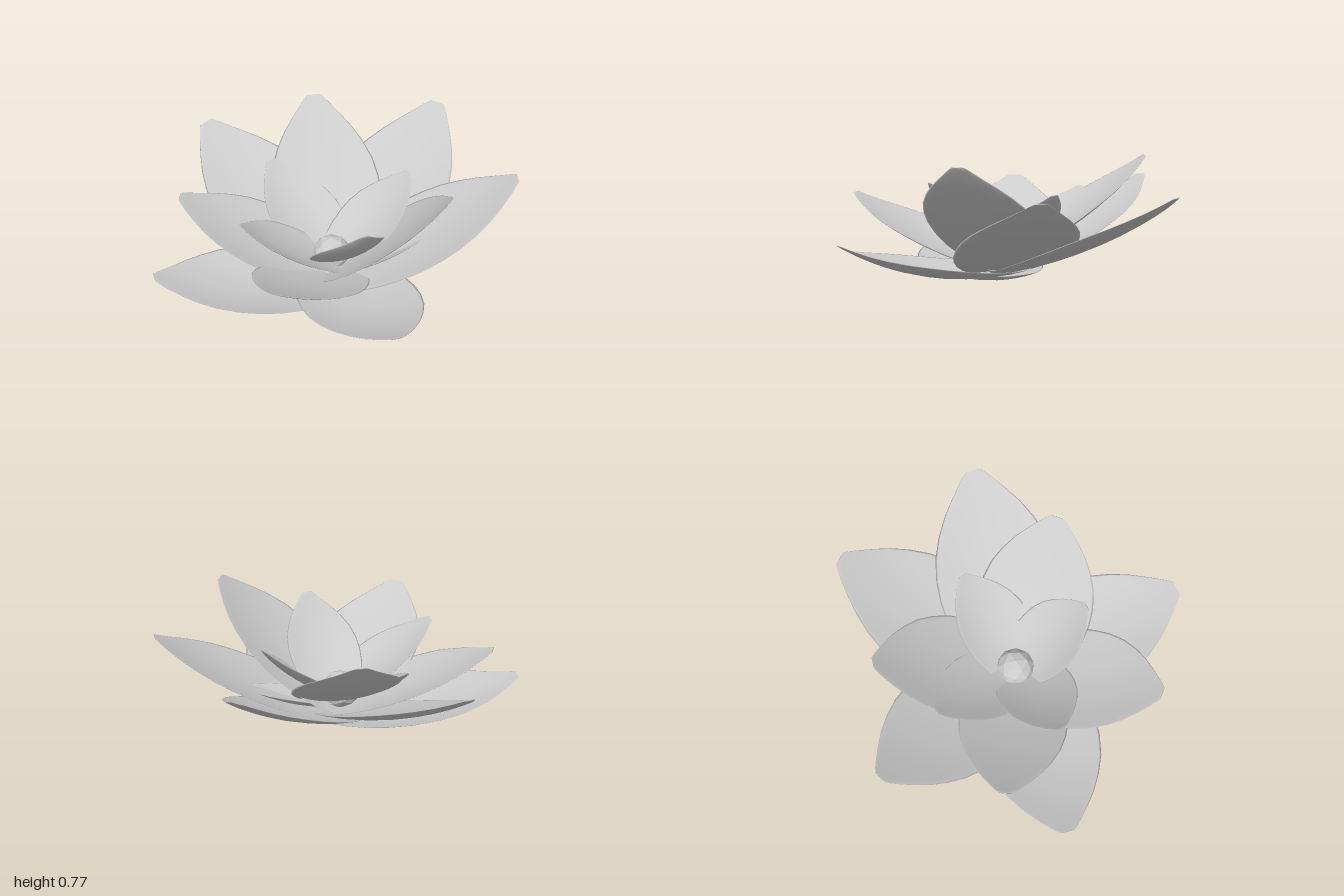
import * as THREE from 'three';

const material = new THREE.MeshStandardMaterial({ color: 0xcccccc, side: THREE.DoubleSide });
const CENTRE = { x: 0.1, z: 0.13 };

// petal outline: [distance along petal, share of half width]
const OUTLINE = [
  [0, 0], [0, 0.25], [0.03, 0.42], [0.08, 0.58], [0.15, 0.73], [0.24, 0.86], [0.34, 0.95], [0.45, 1],
  [0.55, 0.99], [0.65, 0.92], [0.74, 0.79], [0.82, 0.63], [0.89, 0.45], [0.95, 0.28], [0.98, 0.19], [1, 0.12], [1, 0],
];
const AROUND = 24;

// A thin cupped petal: flattened elliptical rings bent along a sagging midrib.
// Its base starts a little behind the flower's centre.
function petalGeometry(tip, halfWidth, baseY, overshoot, sag, cup, roll) {
  const base = new THREE.Vector3(CENTRE.x - tip.x, 0, CENTRE.z - tip.z).setLength(overshoot);
  base.add(new THREE.Vector3(CENTRE.x, baseY, CENTRE.z));
  const along = tip.clone().sub(base);
  const dir = along.clone().normalize();
  const side = dir.clone().cross(new THREE.Vector3(0, 1, 0)).normalize().applyAxisAngle(dir, roll);
  const normal = side.clone().cross(dir);
  const positions = [];
  const index = [];
  OUTLINE.forEach(([t, h], i) => {
    for (let j = 0; j < AROUND; j++) {
      const a = (j / AROUND) * Math.PI * 2;
      const u = Math.cos(a) * h;
      const lift = cup * u * u - sag * 4 * t * (1 - t) + Math.sin(a) * 0.009 * Math.sqrt(h);
      const p = base.clone().addScaledVector(along, t)
        .addScaledVector(side, u * halfWidth)
        .addScaledVector(normal, lift);
      positions.push(p.x, p.y, p.z);
      if (i === OUTLINE.length - 1) continue;
      const k = (j + 1) % AROUND;
      const r = i * AROUND;
      const s = r + AROUND;
      index.push(r + j, s + j, r + k, r + k, s + j, s + k);
    }
  });
  const geometry = new THREE.BufferGeometry();
  geometry.setAttribute('position', new THREE.Float32BufferAttribute(positions, 3));
  geometry.setIndex(index);
  geometry.computeVertexNormals();
  return geometry;
}

// Each petal: tip x, y, z, half width, base height, optional roll
const RINGS = {
  lowPetal: {
    sag: 0.11, cup: 0.07, overshoot: 0.18,
    petals: [
      [0.83, 0.28, 0.79, 0.34, 0.1],
      [-0.73, 0.18, 0.77, 0.34, 0.075],
    ],
  },
  outerPetal: {
    sag: 0.08, cup: 0.05, overshoot: 0.1,
    petals: [
      [0.16, 0.57, -1.0, 0.35, 0.05],
      [0.93, 0.61, -0.5, 0.35, 0.05],
      [-0.95, 0.52, -0.29, 0.33, 0.05, -0.15],
    ],
  },
  middlePetal: {
    sag: 0.06, cup: 0.05, overshoot: 0.1,
    petals: [
      [-0.4, 0.72, -0.56, 0.31, 0.08],
      [0.8, 0.77, 0.07, 0.33, 0.08],
      [-0.76, 0.5, 0.4, 0.31, 0.08],
      [0.14, 0.49, 0.99, 0.31, 0.08],
    ],
  },
  innerPetal: {
    sag: 0.05, cup: 0.05, overshoot: 0.08,
    petals: [
      [-0.46, 0.51, -0.14, 0.22, 0.13],
      [0.33, 0.57, -0.32, 0.21, 0.13],
      [0.42, 0.61, 0.41, 0.21, 0.13],
      [-0.29, 0.54, 0.55, 0.22, 0.13],
      [0.52, 0.3, -0.27, 0.12, 0.1],
    ],
  },
};

export function createModel() {
  const flower = new THREE.Group();
  flower.name = 'flower';

  // Rings of petals, from the lowest to the innermost
  for (const [name, { sag, cup, overshoot, petals }] of Object.entries(RINGS)) {
    const ring = new THREE.Group();
    ring.name = name + 's';
    petals.forEach(([x, y, z, halfWidth, baseY, roll = 0], i) => {
      const tip = new THREE.Vector3(x, y, z);
      const petal = new THREE.Mesh(
        petalGeometry(tip, halfWidth, baseY, overshoot, sag, cup, roll), material);
      petal.name = name + (i + 1);
      ring.add(petal);
    });
    flower.add(ring);
  }

  // Faceted flower heart
  const heart = new THREE.Mesh(
    new THREE.IcosahedronGeometry(0.11, 1),
    new THREE.MeshStandardMaterial({ color: 0xcccccc, flatShading: true }),
  );
  heart.name = 'flowerHeart';
  heart.position.set(0.065, 0.2, 0.12);
  flower.add(heart);

  return flower;
}
